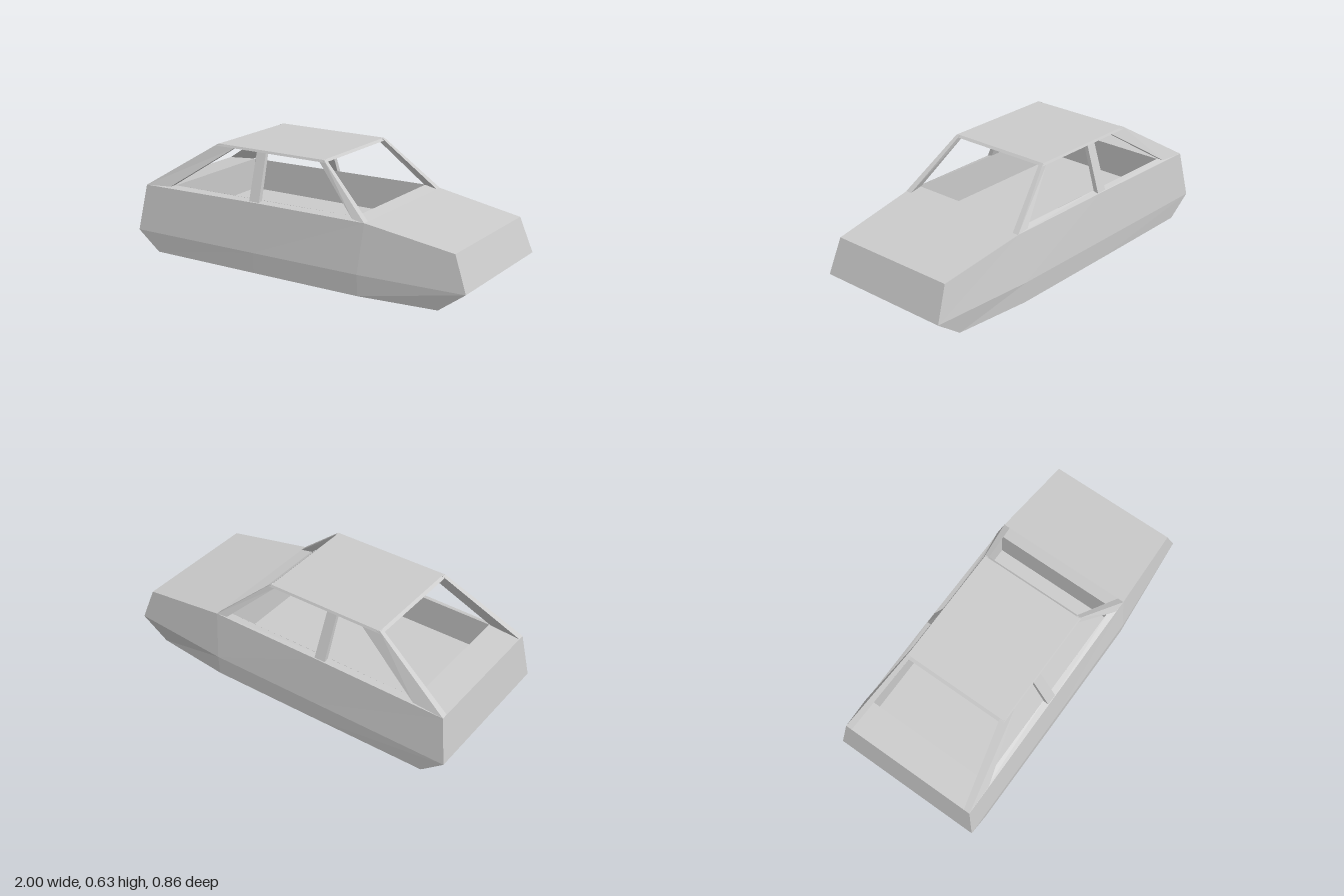
import * as THREE from 'three';

const material = new THREE.MeshStandardMaterial({ color: 0xcccccc, flatShading: true, side: THREE.DoubleSide });

// Flat-shaded mesh from four-cornered faces
function quadMesh(name, quads) {
  const pos = [];
  for (const [a, b, c, d] of quads) pos.push(...a, ...b, ...c, ...a, ...c, ...d);
  const g = new THREE.BufferGeometry();
  g.setAttribute('position', new THREE.Float32BufferAttribute(pos, 3));
  g.computeVertexNormals();
  const mesh = new THREE.Mesh(g, material);
  mesh.name = name;
  return mesh;
}

const flip = ([x, y, z]) => [x, y, -z];
const mirrorQuads = (quads) => quads.map((q) => q.map(flip).reverse());
// Face spanning the full width between two points of the +z half
const across = (a, b) => [a, b, flip(b), flip(a)];

// Walls between two loops of corners
const walls = (lower, upper) => lower.map((p, i) => {
  const j = (i + 1) % lower.length;
  return [p, lower[j], upper[j], upper[i]];
});

// Closed six-sided bar; loops run counter-clockwise seen from above
const bar = (lower, upper) => [...walls(lower, upper), [...lower].reverse(), upper];

// A +z bar and its mirrored twin
function barPair(name, lower, upper) {
  const quads = bar(lower, upper);
  const group = new THREE.Group();
  group.name = name + 's';
  group.add(quadMesh(name + 'Left', quads), quadMesh(name + 'Right', mirrorQuads(quads)));
  return group;
}

// Four corners: rear outer, front outer, front inner, rear inner
const section = (rear, front, zOut, zIn) => [
  [...rear, zOut], [...front, zOut], [...front, zIn], [...rear, zIn],
];

export function createModel() {
  const car = new THREE.Group();
  car.name = 'car';

  // Body half sections: sill, bumper line, belt line
  const stations = [
    [[-0.87, 0, 0.42], [-1, 0.11, 0.428], [-0.96, 0.365, 0.395]],
    [[-0.22, 0, 0.422], [-0.22, 0.112, 0.428], [-0.22, 0.375, 0.395]],
    [[0.42, 0, 0.422], [0.42, 0.114, 0.428], [0.44, 0.375, 0.392]],
    [[0.85, 0, 0.378], [1, 0.11, 0.384], [0.93, 0.297, 0.366]],
  ];
  const side = [];
  for (let i = 0; i < stations.length - 1; i++) {
    const a = stations[i], b = stations[i + 1];
    for (let k = 0; k < 2; k++) side.push([a[k], b[k], b[k + 1], a[k + 1]]);
  }
  const [rear, middle, cowl, nose] = stations;
  car.add(quadMesh('bodySideLeft', side), quadMesh('bodySideRight', mirrorQuads(side)));
  car.add(quadMesh('tail', [across(rear[1], rear[2]), across(rear[0], rear[1])]));
  car.add(quadMesh('nose', [across(nose[2], nose[1]), across(nose[1], nose[0])]));
  car.add(quadMesh('hood', [across(cowl[2], nose[2])]));
  car.add(quadMesh('underside', [0, 1, 2].map((i) => across(stations[i + 1][0], stations[i][0]))));

  // Rear deck, cowl and sills around the cabin opening
  const rimRear = [-0.78, 0.38, 0.36], rimFront = [0.37, 0.39, 0.36];
  const rimMiddle = [-0.22, 0.384, 0.36];
  const sills = [[rear[2], middle[2], rimMiddle, rimRear], [middle[2], cowl[2], rimFront, rimMiddle]];
  car.add(quadMesh('rearDeck', [across(rear[2], rimRear)]));
  car.add(quadMesh('cowl', [across(rimFront, cowl[2])]));
  car.add(quadMesh('sillLeft', sills), quadMesh('sillRight', mirrorQuads(sills)));

  // Open cabin tub
  const rim = [rimRear, rimFront, flip(rimFront), flip(rimRear)];
  const floor = rim.map(([x, , z]) => [x, 0.2, z]);
  car.add(quadMesh('cabinTub', [...walls(floor, rim).map((q) => q.reverse()), floor]));

  // Roof pillars
  car.add(barPair('rearPillar',
    section([-0.96, 0.365], [-0.79, 0.379], 0.395, 0.36),
    section([-0.53, 0.633], [-0.42, 0.624], 0.3, 0.277)));
  car.add(barPair('middlePillar',
    section([-0.262, 0.378], [-0.2, 0.378], 0.392, 0.365),
    section([-0.273, 0.624], [-0.215, 0.624], 0.302, 0.28)));
  car.add(barPair('frontPillar',
    section([0.37, 0.385], [0.44, 0.375], 0.393, 0.357),
    section([0.115, 0.624], [0.145, 0.633], 0.3, 0.277)));

  // Thin roof panel
  const roofLoop = (x0, x1, y, z) => [[x0, y, z], [x1, y, z], [x1, y, -z], [x0, y, -z]];
  car.add(quadMesh('roof', bar(
    roofLoop(-0.54, 0.152, 0.622, 0.304),
    roofLoop(-0.525, 0.14, 0.634, 0.298))));

  return car;
}
